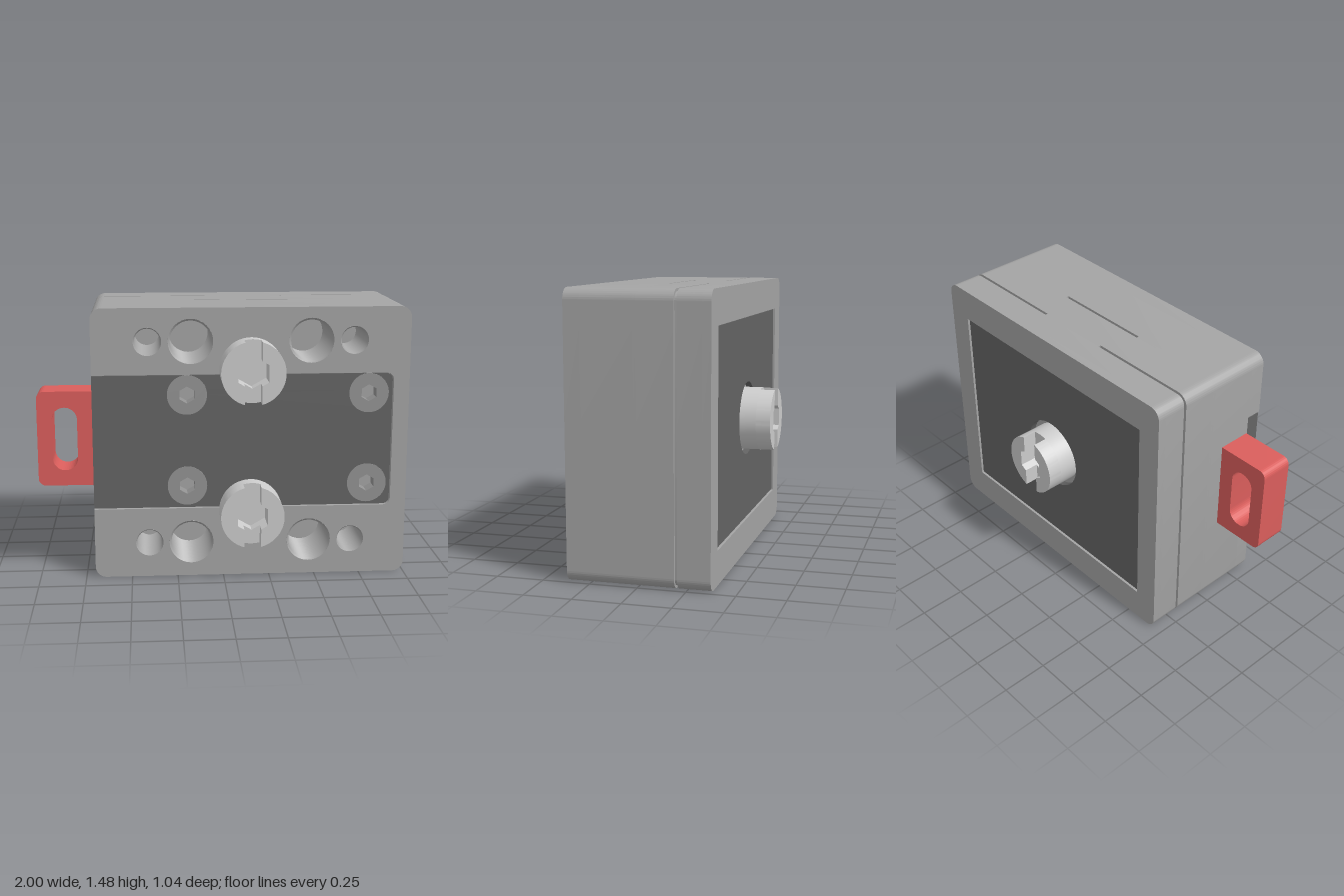
import * as THREE from 'three';
import { toCreasedNormals } from 'three/addons/utils/BufferGeometryUtils.js';

const mat = (color, side = THREE.FrontSide) => new THREE.MeshStandardMaterial({ color, side });
const BODY = mat(0xa4a4a4), THREAD = mat(0xa4a4a4, THREE.DoubleSide), PLATE = mat(0x646464);
const SCREW = mat(0x939393), BOLT = mat(0xcccccc), RED = mat(0xda5e5c);

const L = -0.7, R = 1, H = 1.475, FRONT = 0.37, BACK = -0.375;
const CX = 0.147, CY = H / 2;

// Adds a mesh extruded in z from z0 to z1
function slab(parent, name, shape, z0, z1, material) {
  const geo = new THREE.ExtrudeGeometry(shape, { depth: z1 - z0, bevelEnabled: false, curveSegments: 24 });
  geo.translate(0, 0, z0);
  const mesh = new THREE.Mesh(toCreasedNormals(geo, 0.5), material);
  mesh.name = name;
  parent.add(mesh);
  return mesh;
}

function box(parent, name, x0, x1, y0, y1, z0, z1, material) {
  const mesh = new THREE.Mesh(new THREE.BoxGeometry(x1 - x0, y1 - y0, z1 - z0), material);
  mesh.position.set((x0 + x1) / 2, (y0 + y1) / 2, (z0 + z1) / 2);
  mesh.name = name;
  parent.add(mesh);
}

// Rectangle with separate corner radii on its -x and +x sides;
// optional notches are {x0, x1, d} cut into the top and bottom edges
function rect(x0, x1, y0, y1, rl, rr, top, bottom) {
  const s = new THREE.Shape();
  s.moveTo(x0 + rl, y0);
  if (bottom) {
    s.lineTo(bottom.x0, y0); s.lineTo(bottom.x0, y0 + bottom.d);
    s.lineTo(bottom.x1, y0 + bottom.d); s.lineTo(bottom.x1, y0);
  }
  s.lineTo(x1 - rr, y0);
  if (rr) s.absarc(x1 - rr, y0 + rr, rr, -Math.PI / 2, 0);
  s.lineTo(x1, y1 - rr);
  if (rr) s.absarc(x1 - rr, y1 - rr, rr, 0, Math.PI / 2);
  if (top) {
    s.lineTo(top.x1, y1); s.lineTo(top.x1, y1 - top.d);
    s.lineTo(top.x0, y1 - top.d); s.lineTo(top.x0, y1);
  }
  s.lineTo(x0 + rl, y1);
  if (rl) s.absarc(x0 + rl, y1 - rl, rl, Math.PI / 2, Math.PI);
  s.lineTo(x0, y0 + rl);
  if (rl) s.absarc(x0 + rl, y0 + rl, rl, Math.PI, Math.PI * 1.5);
  return s;
}

const outline = (top, bottom) => rect(L, R, 0, H, 0.06, 0.06, top, bottom);
const circle = (x, y, r) => new THREE.Shape().absarc(x, y, r, 0, Math.PI * 2);
const hexPoints = r => Array.from({ length: 6 }, (_, i) =>
  new THREE.Vector2(r * Math.sin(i * Math.PI / 3), r * Math.cos(i * Math.PI / 3)));

// Bolt head with a hex socket and a cross slot, base at z = 0
function boltHead(length, sink) {
  const g = new THREE.Group();
  const r = 0.17, w = 0.045, slotZ = length - 0.078, hex = hexPoints(0.092);
  const base = circle(0, 0, r);
  base.holes.push(new THREE.Path(hex));
  slab(g, 'boltBase', base, -sink, slotZ, BOLT);
  slab(g, 'socketFloor', circle(0, 0, 0.11), -sink, 0.003, BOLT);
  const a = Math.acos(w / r), hy = 0.092 - 0.046 * w / hex[1].x;
  const half = new THREE.Shape();
  half.absarc(0, 0, r, -a, a);
  half.lineTo(w, hy);
  half.lineTo(hex[1].x, hex[1].y);
  half.lineTo(hex[2].x, hex[2].y);
  half.lineTo(w, -hy);
  for (let i = 0; i < 2; i++)
    slab(g, 'boltJaw', half, slotZ, length, BOLT).rotation.z = i * Math.PI;
  return g;
}

// Internal thread: a zigzag profile turned round the hole axis
function threadedBore(parent, x, y, r, z0, z1) {
  const n = 15, pitch = (z1 - z0) / n, pts = [];
  for (let i = 0; i < n; i++)
    pts.push(new THREE.Vector2(r, z0 + i * pitch), new THREE.Vector2(r * 0.91, z0 + (i + 0.5) * pitch));
  pts.push(new THREE.Vector2(r, z1));
  const geo = new THREE.LatheGeometry(pts, 32).rotateX(Math.PI / 2);
  const mesh = new THREE.Mesh(toCreasedNormals(geo, 0.5), THREAD);
  mesh.position.set(x, y, 0);
  mesh.name = 'threadedBore';
  parent.add(mesh);
}

export function createModel() {
  const model = new THREE.Group();
  model.name = 'clampBlock';
  const body = new THREE.Group();
  body.name = 'body';
  model.add(body);

  // Rear cover: frame round a sunken panel, then the solid part behind it
  const panelZ = BACK + 0.045;
  const frame = outline();
  frame.holes.push(rect(-0.565, 0.86, 0.18, 1.295, 0, 0));
  slab(body, 'rearFrame', frame, BACK, panelZ, BODY);
  slab(body, 'rearCover', outline(), panelZ, -0.205, BODY);
  const panel = rect(-0.56, 0.855, 0.185, 1.29, 0, 0);
  panel.holes.push(circle(CX, CY, 0.2));
  slab(model, 'rearPanel', panel, BACK + 0.01, panelZ, PLATE);

  // Parting groove, bridged in the middle of the top and bottom
  slab(body, 'grooveCore', rect(L + 0.015, R - 0.015, 0.015, H - 0.015, 0.045, 0.045), -0.205, -0.19, BODY);
  box(body, 'topBridge', -0.07, 0.36, H - 0.05, H, -0.205, -0.19, BODY);
  box(body, 'bottomBridge', -0.42, 0.72, 0, 0.05, -0.205, -0.19, BODY);

  // Main block with a thin slit in the top and bottom
  slab(body, 'mainBlock', outline(), -0.19, 0, BODY);
  slab(body, 'slitLayer', outline({ x0: -0.14, x1: 0.43, d: 0.04 }, { x0: -0.51, x1: 0.81, d: 0.04 }), 0, 0.015, BODY);

  // Front of the block: threaded holes and a channel open towards -x
  const bores = [];
  for (const y of [0.193, 1.297])
    bores.push([-0.403, y, 0.075], [-0.175, y, 0.12], [0.468, y, 0.12], [0.698, y, 0.075]);
  const middle = outline();
  const c0 = 0.385, c1 = 1.12, cr = 0.915, q = 0.04;
  const front = new THREE.Shape();
  front.moveTo(L + 0.06, 0);
  front.absarc(R - 0.06, 0.06, 0.06, -Math.PI / 2, 0);
  front.absarc(R - 0.06, H - 0.06, 0.06, 0, Math.PI / 2);
  front.absarc(L + 0.06, H - 0.06, 0.06, Math.PI / 2, Math.PI);
  front.lineTo(L, c1);
  front.absarc(cr - q, c1 - q, q, Math.PI / 2, 0, true);
  front.absarc(cr - q, c0 + q, q, 0, -Math.PI / 2, true);
  front.lineTo(L, c0);
  front.absarc(L + 0.06, 0.06, 0.06, Math.PI, Math.PI * 1.5);
  for (const [x, y, r] of bores) {
    middle.holes.push(circle(x, y, r));
    front.holes.push(circle(x, y, r));
    threadedBore(body, x, y, r, 0.015, FRONT);
  }
  slab(body, 'middleBlock', middle, 0.015, 0.285, BODY);
  slab(body, 'frontFrame', front, 0.285, FRONT, BODY);

  // Cover plate in the channel, held by four socket screws
  const plate = rect(L, cr - 0.005, c0 + 0.004, c1 - 0.004, 0, 0.036);
  for (const x of [-0.195, 0.783])
    for (const y of [0.51, 1.01]) {
      plate.holes.push(circle(x, y, 0.107));
      const head = circle(0, 0, 0.107);
      head.holes.push(new THREE.Path(hexPoints(0.046)));
      slab(model, 'plateScrew', head, 0.285, 0.366, SCREW).position.set(x, y, 0);
    }
  slab(model, 'coverPlate', plate, 0.285, 0.362, PLATE);

  // Red sliding tab with a long hole
  const tab = rect(-1, -0.6, 0.5, 1.02, 0.04, 0);
  tab.holes.push(rect(-0.92, -0.785, 0.585, 0.932, 0.067, 0.067));
  slab(model, 'slidingTab', tab, 0.095, 0.28, RED);

  // Two bolts in front, one behind
  for (const y of [0.37, 1.147]) {
    const bolt = boltHead(0.15, 0.03);
    bolt.name = 'frontBolt';
    bolt.position.set(CX, y, FRONT);
    model.add(bolt);
  }
  const rearBolt = boltHead(0.15, 0.06);
  rearBolt.name = 'rearBolt';
  rearBolt.position.set(CX, CY, BACK);
  rearBolt.rotation.y = Math.PI;
  model.add(rearBolt);

  return model;
}
